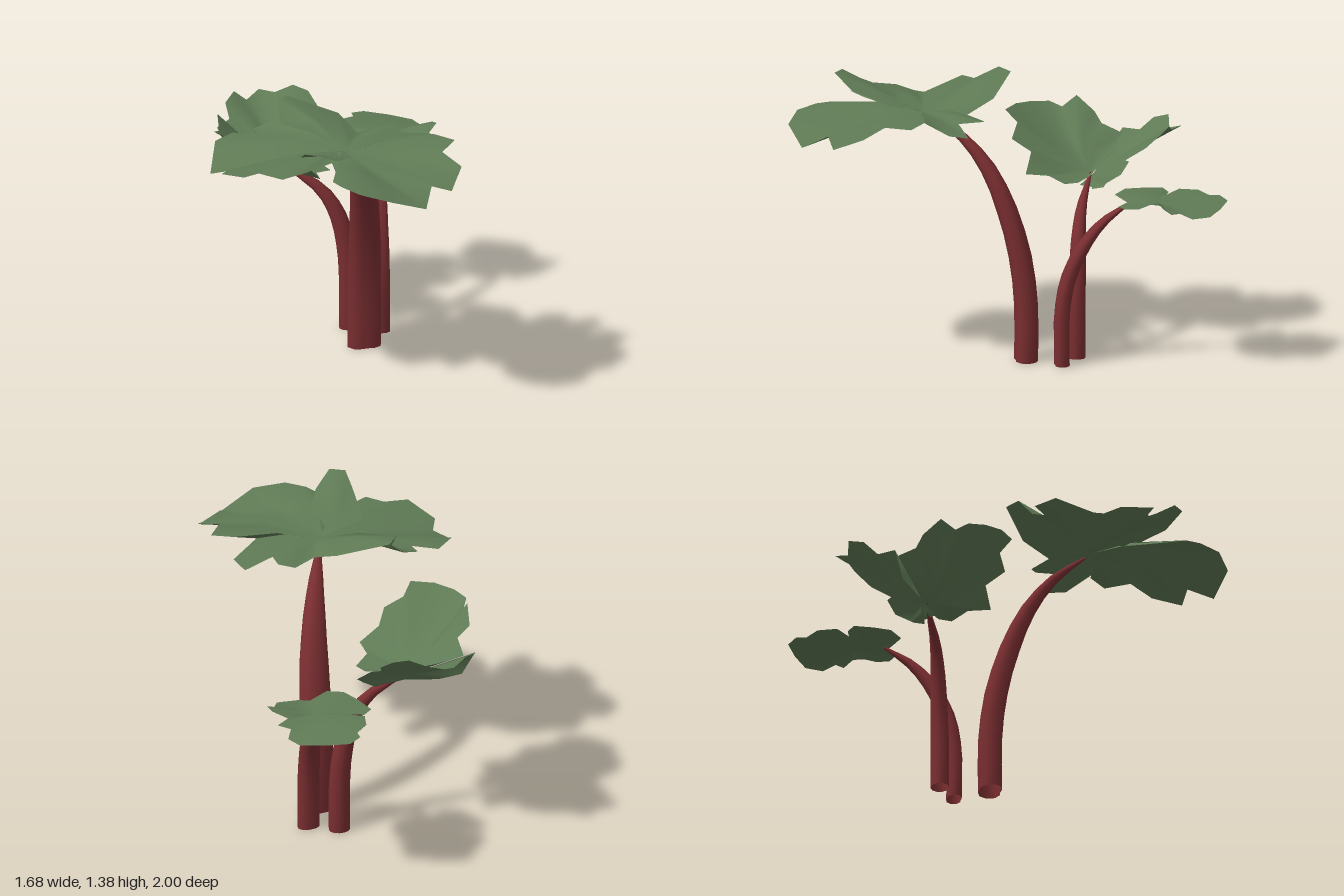
import * as THREE from 'three';

const leafGreen = new THREE.MeshStandardMaterial({ color: 0x5f7a55, side: THREE.DoubleSide });
leafGreen.name = 'leaf green';
const stalkRed = new THREE.MeshStandardMaterial({ color: 0x7a2e31, side: THREE.DoubleSide });
stalkRed.name = 'stalk red';

function meshFrom(name, positions, index, material) {
  const geo = new THREE.BufferGeometry();
  geo.setAttribute('position', new THREE.Float32BufferAttribute(positions, 3));
  geo.setIndex(index);
  geo.computeVertexNormals();
  const mesh = new THREE.Mesh(geo, material);
  mesh.name = name;
  return mesh;
}

// Tapering stalk swept along a curve. Its section is an oval, longest towards +x -z,
// with a shallow groove facing +x +z. Each path point is [x, y, z, radius].
function stalk(name, oval, path) {
  const curve = new THREE.CatmullRomCurve3(path.map(p => new THREE.Vector3(p[0], p[1], p[2])));
  const rings = 12, sides = 12, pos = [], idx = [];
  const first = path[0], last = path[path.length - 1];
  const out = new THREE.Vector3(last[0] - first[0], 0, last[2] - first[2]).normalize();
  const side = new THREE.Vector3().crossVectors(new THREE.Vector3(0, 1, 0), out);
  const heading = Math.atan2(out.x, out.z);
  for (let i = 0; i <= rings; i++) {
    const t = i / rings, f = t * (path.length - 1);
    const k = Math.min(Math.floor(f), path.length - 2);
    const r = THREE.MathUtils.lerp(path[k][3], path[k + 1][3], f - k);
    const c = curve.getPoint(t);
    const tangent = i === 0 ? new THREE.Vector3(0, 1, 0) : curve.getTangent(t);
    const outer = new THREE.Vector3().crossVectors(side, tangent).normalize();
    for (let j = 0; j < sides; j++) {
      const a = j / sides * Math.PI * 2, q = a + heading - Math.PI / 4;
      const groove = Math.max(0, Math.cos(q)) ** 6;
      const rr = r * (1 - oval * Math.cos(2 * q) - oval * 0.6 * groove);
      const p = c.clone().addScaledVector(outer, Math.cos(a) * rr).addScaledVector(side, Math.sin(a) * rr);
      pos.push(p.x, p.y, p.z);
      if (i < rings) {
        const n = (j + 1) % sides, A = i * sides + j, B = i * sides + n;
        idx.push(A, B, B + sides, A, B + sides, A + sides);
      }
    }
  }
  return meshFrom(name, pos, idx, stalkRed);
}

// Lobed blade: a hub, a middle ring and a jagged rim. Points are [x, z, y] in hundredths.
function leaf(name, hub, rim, bulge) {
  const n = rim.length / 3;
  const pos = [hub[0] / 100, hub[2] / 100, hub[1] / 100], idx = [];
  for (const t of [0.5, 1]) {
    for (let i = 0; i < n; i++) {
      const [x, z, y] = [0, 1, 2].map(k => (hub[k] + (rim[i * 3 + k] - hub[k]) * t) / 100);
      pos.push(x, y + (t < 1 ? bulge : 0), z);
    }
  }
  for (let i = 0; i < n; i++) {
    const j = (i + 1) % n, a = 1 + i, b = 1 + j;
    idx.push(0, a, b, a, a + n, b + n, a, b + n, b);
  }
  return meshFrom(name, pos, idx, leafGreen);
}

export function createModel() {
  const plant = new THREE.Group();
  plant.name = 'plant';

  // Stalks
  plant.add(stalk('tallStalk', 0.2, [
    [0.03, 0, -0.055, 0.073], [0.03, 0.28, -0.055, 0.073], [0.045, 0.53, -0.03, 0.071],
    [0.075, 0.77, 0.03, 0.064], [0.105, 0.97, 0.12, 0.05], [0.14, 1.12, 0.25, 0.031], [0.18, 1.21, 0.41, 0.008]]));
  plant.add(stalk('backStalk', 0.2, [
    [0.005, 0, -0.255, 0.048], [0.005, 0.25, -0.255, 0.048], [-0.01, 0.43, -0.28, 0.046],
    [-0.045, 0.6, -0.345, 0.039], [-0.085, 0.74, -0.44, 0.025], [-0.13, 0.86, -0.58, 0.007]]));
  plant.add(stalk('sideStalk', 0.08, [
    [-0.15, 0, -0.235, 0.05], [-0.15, 0.25, -0.235, 0.05], [-0.165, 0.43, -0.23, 0.047],
    [-0.205, 0.6, -0.21, 0.04], [-0.28, 0.73, -0.175, 0.029], [-0.46, 0.855, -0.105, 0.007]]));

  // Large front leaf, with its raised middle lobe overlapping the rest
  plant.add(leaf('largeLeaf', [19, 45, 123], [
    14, 22, 124, 0, 16, 130, -25, 23, 137, -26, 31, 138, -21, 38, 129, -28, 36, 127,
    -33, 43, 125, -28, 48, 125, -41, 51, 124, -43, 65, 124, -36, 83, 114, -27, 83, 117,
    -25, 92, 119, -8, 100, 123, 1, 90, 125, 12, 94, 124, 17, 83, 124, 21, 62, 123,
    32, 78, 125, 36, 89, 125, 43, 93, 125, 55, 96, 124, 70, 91, 121,
    81, 75, 114, 77, 62, 121, 84, 54, 117, 81, 38, 124, 68, 34, 128, 67, 19, 129,
    55, 19, 130, 46, 27, 127, 51, 7, 124, 43, 1, 122, 33, 14, 125, 27, 5, 126, 19, 8, 124], 0.025));
  plant.add(leaf('largeLeafFrontLobe', [19, 62, 126.5], [
    19, 45, 123.5, 4, 66, 126, 7, 72, 127, 16, 85, 133, 22, 92, 138, 30, 91, 138, 33, 79, 132, 30, 57, 126], 0));

  // Small back leaf
  plant.add(leaf('backLeaf', [-19, -70, 86], [
    -11, -57, 86, -16, -46, 87, -25, -46, 88, -34, -50, 87, -43, -56, 86, -41, -61, 85,
    -34, -65, 86, -43, -66, 87, -47, -75, 87, -45, -83, 86, -48, -87, 86, -45, -94, 85,
    -33, -98, 84, -21, -100, 83, -13, -95, 83, -12, -88, 85, -5, -88, 86, -8, -81, 87,
    -1, -84, 91, 3, -81, 92, 2, -73, 88, 3, -66, 87, -5, -56, 85], 0.008));

  // Folded pair of blades on the side stalk
  plant.add(leaf('sideLeafFront', [-47, -8, 86], [
    -39, -15, 86, -26, -17, 86, -20, -13, 86, -22, -2, 88, -15, 7, 89, -24, 10, 98,
    -23, 21, 103, -32, 24, 109, -33, 32, 114, -45, 34, 114, -56, 32, 113, -64, 27, 112,
    -65, 20, 110, -69, 14, 116, -73, 6, 108, -69, -1, 104, -75, -9, 99, -63, -12, 94], -0.01));
  plant.add(leaf('sideLeafBack', [-48, -11, 85], [
    -38, -17, 81, -32, -21, 82, -35, -26, 83, -30, -31, 87, -30, -40, 93, -37, -40, 98,
    -41, -35, 97, -44, -45, 104, -52, -49, 110, -60, -48, 112, -68, -44, 108, -77, -44, 108,
    -79, -35, 105, -84, -31, 110, -84, -22, 107, -79, -17, 101, -80, -6, 100, -73, -6, 87,
    -60, -4, 81, -43, -6, 79], 0));

  return plant;
}
